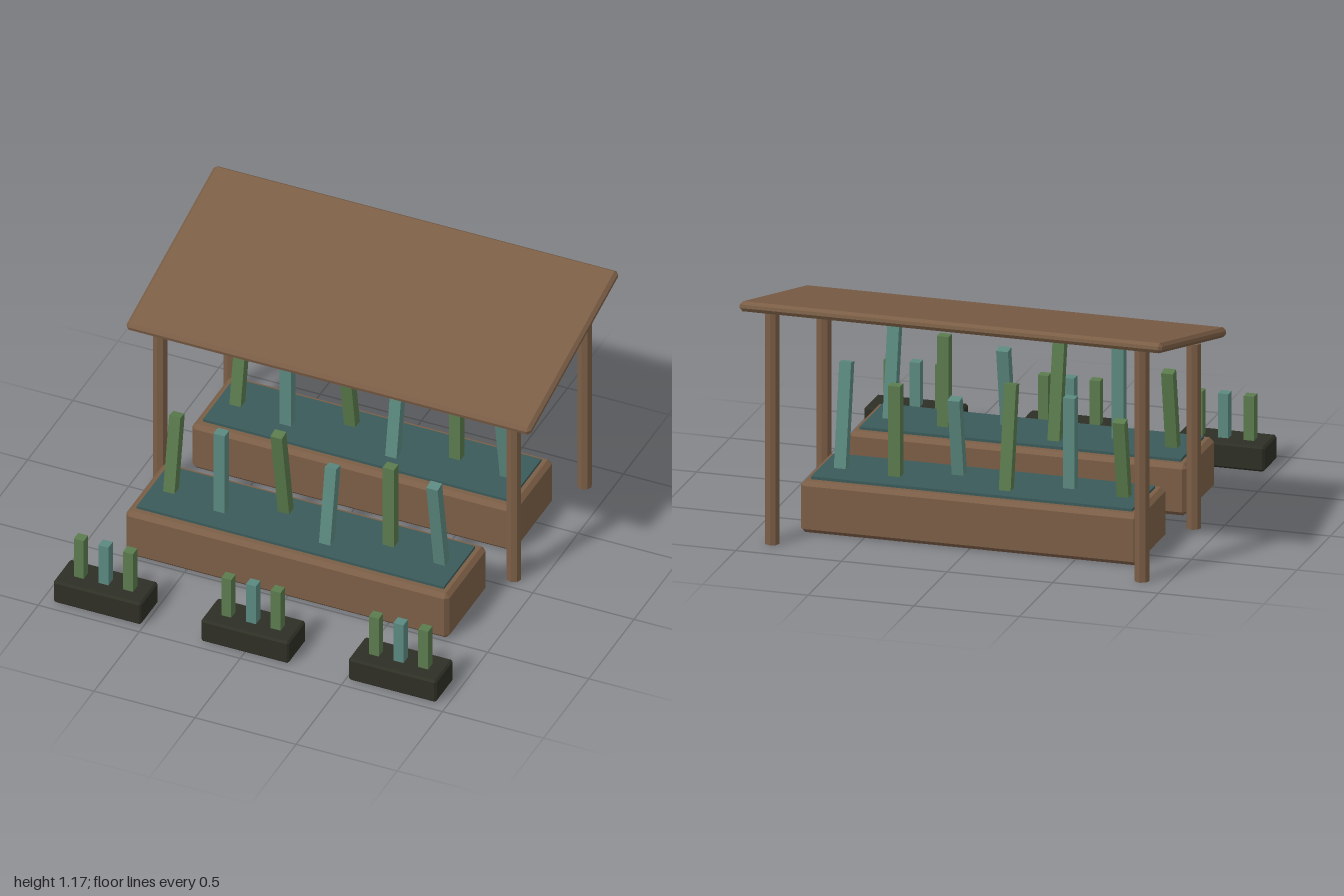
import * as THREE from 'three';
import { ConvexGeometry } from 'three/addons/geometries/ConvexGeometry.js';

const material = (name, color) => {
  const m = new THREE.MeshStandardMaterial({ color });
  m.name = name;
  return m;
};

// Box with every edge cut by a flat chamfer c
function chamferBox(w, h, d, c) {
  const pts = [];
  for (const x of [-1, 1]) for (const y of [-1, 1]) for (const z of [-1, 1]) {
    const X = x * w / 2, Y = y * h / 2, Z = z * d / 2;
    pts.push(
      new THREE.Vector3(X, Y - y * c, Z - z * c),
      new THREE.Vector3(X - x * c, Y, Z - z * c),
      new THREE.Vector3(X - x * c, Y - y * c, Z));
  }
  return new ConvexGeometry(pts);
}

function add(parent, name, geometry, mat, x, y, z) {
  const mesh = new THREE.Mesh(geometry, mat);
  mesh.name = name;
  mesh.position.set(x, y, z);
  parent.add(mesh);
  return mesh;
}

export function createModel() {
  const wood = material('wood', 0x7b5e46);
  const soilMat = material('teal soil', 0x3b5a5a);
  const green = material('leaf green', 0x5a7b4d);
  const teal = material('leaf teal', 0x5b897f);
  const dark = material('dark tray', 0x2e2f25);

  const model = new THREE.Group();
  model.name = 'gardenShelter';

  // Sloping roof
  const roof = add(model, 'roof', chamferBox(2, 0.046, 1.02, 0.015), wood, 0, 1.03, -0.46);
  roof.rotation.x = 0.24;

  // Eight-sided posts, taller at the back
  for (const x of [-0.875, 0.875]) {
    for (const [name, z, h] of [['frontPost', -0.07, 0.88], ['backPost', -0.85, 1.115]]) {
      const geo = new THREE.CylinderGeometry(0.035, 0.035, h, 8).toNonIndexed();
      geo.computeVertexNormals();
      add(model, name, geo, wood, x, h / 2, z);
    }
  }

  // Two planting beds, each with six stalks leaning back, upright, forward
  for (const [name, z] of [['frontBed', 0.275], ['backBed', -0.457]]) {
    const bed = new THREE.Group();
    bed.name = name;
    bed.position.z = z;
    model.add(bed);
    add(bed, 'bedBox', chamferBox(1.6, 0.245, 0.436, 0.02), wood, 0, 0.1225, 0);
    add(bed, 'soil', new THREE.BoxGeometry(1.52, 0.04, 0.345), soilMat, 0, 0.238, 0);
    for (let i = 0; i < 6; i++) {
      const length = 0.4 + 0.05 * (i % 3);
      const stalk = add(bed, 'stalk', new THREE.BoxGeometry(0.056, length, 0.05),
        i % 2 ? teal : green, (i - 2.5) * 0.268, 0.238 + length / 2, i % 2 ? 0.037 : -0.037);
      stalk.rotation.x = (i % 3 - 1) * 0.17;
    }
  }

  // Three seedling trays in front
  for (const x of [-0.73, 0, 0.73]) {
    const tray = new THREE.Group();
    tray.name = 'seedlingTray';
    tray.position.set(x, 0, 0.858);
    model.add(tray);
    add(tray, 'trayBox', chamferBox(0.435, 0.12, 0.194, 0.01), dark, 0, 0.06, 0);
    for (const i of [-1, 0, 1]) {
      add(tray, 'shoot', new THREE.BoxGeometry(0.049, 0.22, 0.049),
        i ? green : teal, i * 0.122, 0.22, 0);
    }
  }
  return model;
}
